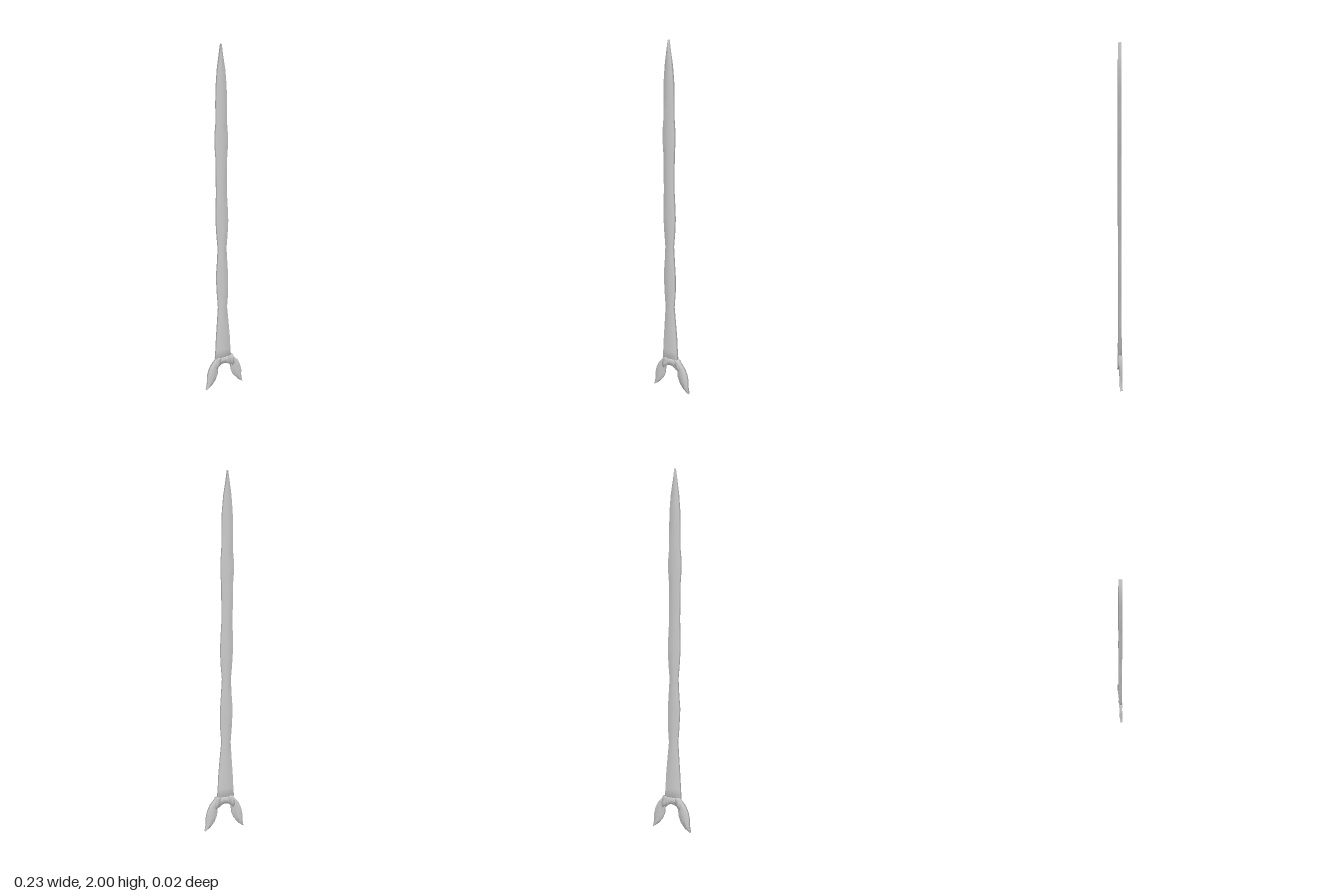
import * as THREE from 'three';

// Smooth-shaded plate: each row is [leftX, leftY, rightX, rightY], listed bottom to top
function plate(name, rows, zBack, zFront, material) {
  const position = [], index = [];
  const ring = 6;
  for (const [lx, ly, rx, ry] of rows) {
    const mx = (lx + rx) / 2, my = (ly + ry) / 2;
    position.push(lx, ly, zFront, mx, my, zFront, rx, ry, zFront);
    position.push(rx, ry, zBack, mx, my, zBack, lx, ly, zBack);
  }
  for (let r = 0; r < rows.length - 1; r++) {
    for (let c = 0; c < ring; c++) {
      const a = r * ring + c, b = r * ring + (c + 1) % ring;
      index.push(a, b, b + ring, a, b + ring, a + ring);
    }
  }
  // end caps
  const t = (rows.length - 1) * ring;
  for (const [a, b, c, d] of [[0, 5, 4, 1], [1, 4, 3, 2]]) {
    index.push(a, b, c, a, c, d);
    index.push(t + a, t + c, t + b, t + a, t + d, t + c);
  }
  const geometry = new THREE.BufferGeometry();
  geometry.setAttribute('position', new THREE.Float32BufferAttribute(position, 3));
  geometry.setIndex(index);
  geometry.computeVertexNormals();
  const mesh = new THREE.Mesh(geometry, material);
  mesh.name = name;
  return mesh;
}

const mirror = rows => rows.map(([lx, ly, rx, ry]) => [-rx, ry, -lx, ly]);

export function createModel() {
  const group = new THREE.Group();
  group.name = 'sword';
  const material = new THREE.MeshStandardMaterial({ color: 0xcccccc, side: THREE.DoubleSide });

  // Wavy blade: [y, left edge, right edge]
  const edges = [
    [0.19, -0.057, 0.04], [0.24, -0.053, 0.036], [0.32, -0.049, 0.032],
    [0.42, -0.042, 0.023], [0.51, -0.036, 0.014], [0.6, -0.043, 0.021],
    [0.7, -0.048, 0.021], [0.79, -0.041, 0.015], [0.87, -0.037, 0.01],
    [0.95, -0.044, 0.017], [1.03, -0.049, 0.021], [1.12, -0.048, 0.017],
    [1.2, -0.046, 0.012], [1.3, -0.048, 0.013], [1.4, -0.049, 0.014],
    [1.45, -0.053, 0.018], [1.52, -0.054, 0.018], [1.58, -0.048, 0.013],
    [1.7, -0.048, 0.012], [1.78, -0.046, 0.01], [1.87, -0.039, 0.002],
    [1.94, -0.029, -0.01], [2, -0.02, -0.018],
  ];
  const blade = edges.map(([y, l, r]) => [l, y, r, y]);
  group.add(plate('blade', blade, -0.01, 0.007, material));

  // Arched foot of the blade between the two prongs
  const archLow = [], archHigh = [];
  for (let i = 0; i <= 8; i++) {
    const x = -0.045 + i * 0.01;
    archLow.push([x, 0.152 - 14 * (x + 0.005) ** 2]);
    archHigh.push([x, 0.192]);
  }
  const foot = archLow.map(([x, y], i) => [archHigh[i][0], archHigh[i][1], x, y]);
  group.add(plate('bladeFoot', foot, -0.01, 0.007, material));

  // Curved prongs of the guard
  const prong = [
    [-0.117, 0, -0.115, 0.002], [-0.109, 0.043, -0.085, 0.024],
    [-0.109, 0.08, -0.06, 0.055], [-0.1, 0.118, -0.046, 0.09],
    [-0.085, 0.15, -0.043, 0.125], [-0.065, 0.173, -0.034, 0.147],
    [-0.05, 0.19, -0.02, 0.165],
  ];
  group.add(plate('rightProng', prong, -0.01, 0.006, material));
  group.add(plate('leftProng', mirror(prong), -0.01, 0.006, material));

  // Raised overlap where each prong meets the blade
  const root = [
    [-0.062, 0.138, -0.052, 0.125], [-0.058, 0.165, -0.034, 0.142],
    [-0.054, 0.192, -0.026, 0.162], [-0.034, 0.194, -0.024, 0.19],
  ];
  group.add(plate('rightProngRoot', root, -0.012, 0.009, material));
  group.add(plate('leftProngRoot', mirror(root), -0.012, 0.009, material));

  return group;
}
